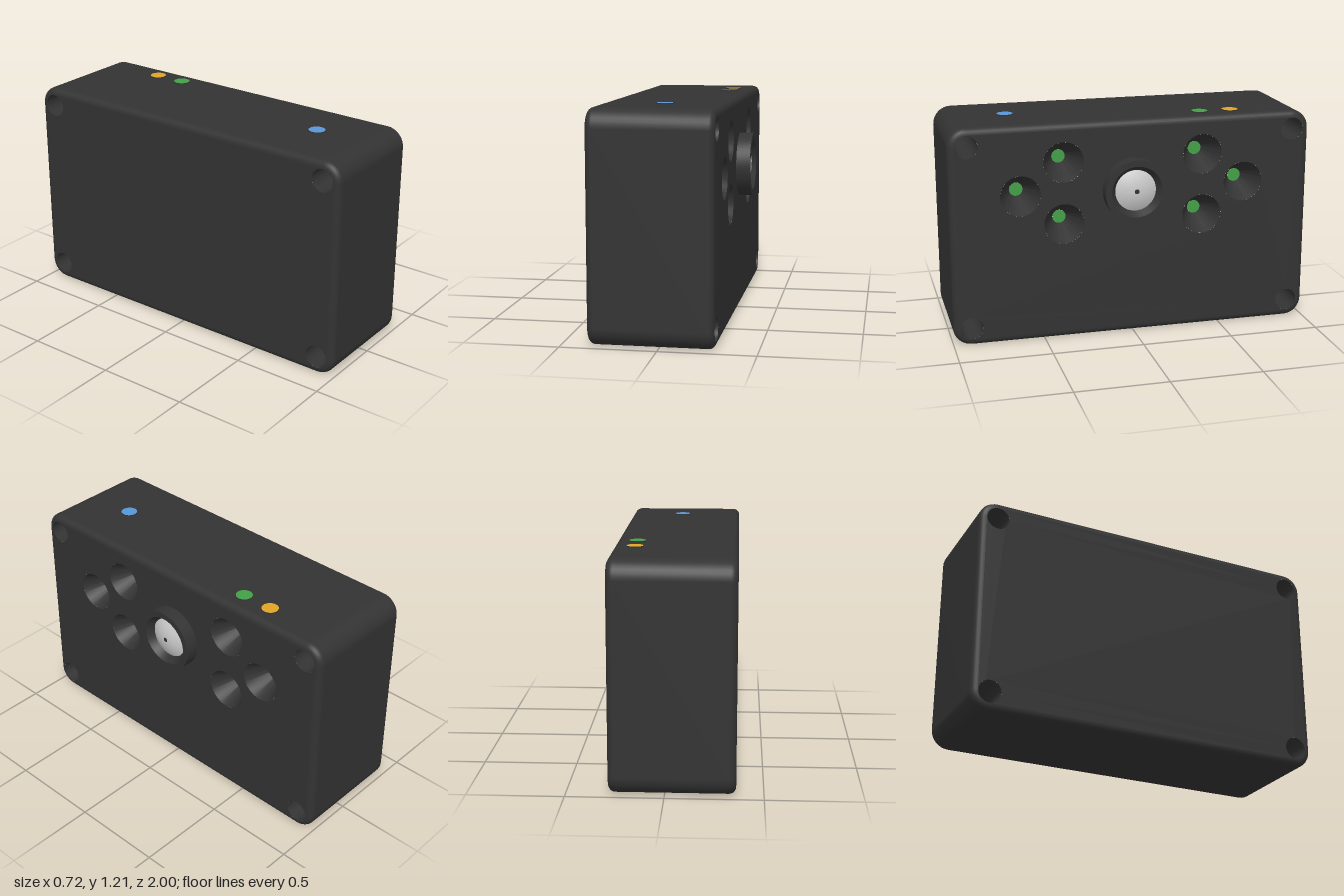
import * as THREE from 'three';
import { toCreasedNormals } from 'three/addons/utils/BufferGeometryUtils.js';

const mat = (color, side = THREE.FrontSide) => new THREE.MeshStandardMaterial({ color, side });
const W = 1, H = 0.6, CY = 0.6, R = 0.1, BEVEL = 0.036; // half width, half height, centre, corner radius
const BACK = -0.36, FRONT = 0.285;
const LENS_Y = 0.82;

// Rounded rectangle outline, shrunk by an inset
function outline(inset) {
  const pts = [], n = 8;
  [[1, 1], [-1, 1], [-1, -1], [1, -1]].forEach(([sx, sy], q) => {
    for (let i = 0; i <= n; i++) {
      const a = (q + i / n) * Math.PI / 2;
      pts.push(new THREE.Vector2(
        sx * (W - R) + (R - inset) * Math.cos(a),
        CY + sy * (H - R) + (R - inset) * Math.sin(a)));
    }
  });
  return pts;
}

// Outer skin lofted through outline rings with rounded front and back edges
function shellGeometry() {
  const rings = [], steps = 6;
  for (let i = 0; i <= steps; i++) {
    const a = i / steps * Math.PI / 2;
    rings.push([BEVEL * (1 - Math.sin(a)), BACK + BEVEL * (1 - Math.cos(a))]);
  }
  for (let i = steps; i >= 0; i--) rings.push([rings[i][0], BACK + FRONT - rings[i][1]]);
  const pos = [], index = [];
  let n = 0;
  for (const [inset, z] of rings) {
    const ring = outline(inset);
    n = ring.length;
    ring.forEach(p => pos.push(p.x, p.y, z));
  }
  for (let r = 0; r < rings.length - 1; r++) {
    for (let i = 0; i < n; i++) {
      const a = r * n + i, b = r * n + (i + 1) % n;
      index.push(a, b, b + n, a, b + n, a + n);
    }
  }
  const g = new THREE.BufferGeometry();
  g.setAttribute('position', new THREE.Float32BufferAttribute(pos, 3));
  g.setIndex(index);
  g.computeVertexNormals();
  return g;
}

// Flat panel with round openings
function panelGeometry(holes) {
  const shape = new THREE.Shape(outline(BEVEL));
  for (const [x, y, r] of holes) {
    shape.holes.push(new THREE.Path().absarc(x, y, r, 0, Math.PI * 2, true));
  }
  return new THREE.ShapeGeometry(shape, 40);
}

// Lathe whose axis points out of the front panel; profile is [radius, depth]
function turned(profile, segments = 48) {
  const g = new THREE.LatheGeometry(profile.map(p => new THREE.Vector2(...p)), segments);
  return toCreasedNormals(g.rotateX(Math.PI / 2), 0.6);
}

export function createModel() {
  const model = new THREE.Group();
  const device = new THREE.Group();
  device.name = 'device';
  device.rotation.y = Math.PI / 2; // panel faces +x
  model.add(device);

  const dark = mat(0x333333), darkDouble = mat(0x333333, THREE.DoubleSide);
  const green = mat(0x43a047);
  const add = (name, geometry, material, x = 0, y = 0, z = 0) => {
    const m = new THREE.Mesh(geometry, material);
    m.name = name;
    m.position.set(x, y, z);
    device.add(m);
    return m;
  };

  const screws = [], leds = [];
  for (const s of [-1, 1]) {
    screws.push([s * 0.9, 0.1, 0.062], [s * 0.9, 1.1, 0.062]);
    leds.push([s * 0.385, 0.99, 0.11], [s * 0.385, 0.65, 0.11], [s * 0.62, 0.82, 0.11]);
  }

  // Housing
  add('housingShell', shellGeometry(), dark);
  add('frontPanel', panelGeometry([...screws, ...leds]), dark, 0, 0, FRONT);
  const back = panelGeometry(screws);
  back.rotateY(Math.PI);
  add('backPanel', back, dark, 0, 0, BACK);

  // Through holes in the corners
  const bore = new THREE.CylinderGeometry(0.062, 0.062, FRONT - BACK, 40, 1, true).rotateX(Math.PI / 2);
  for (const [x, y] of screws) add('screwHole', bore, darkDouble, x, y, (FRONT + BACK) / 2);

  // Conical light wells with a small lamp at the bottom
  const well = turned([[0.037, -0.15], [0.11, 0]], 40);
  const lamp = new THREE.CircleGeometry(0.037, 32);
  for (const [x, y] of leds) {
    add('lightWell', well, darkDouble, x, y, FRONT);
    add('lamp', lamp, green, x, y, FRONT - 0.149);
  }

  // Lens barrel, domed glass and pupil
  add('lensBarrel', turned([[0.174, -0.01], [0.174, 0.075], [0.14, 0.075], [0.113, 0.035], [0, 0.03]], 64),
    darkDouble, 0, LENS_Y, FRONT);
  const dome = [];
  for (let i = 0; i <= 10; i++) {
    const r = 0.113 * (1 - i / 10);
    dome.push([r, 0.035 + 0.03 * (1 - (r / 0.113) ** 2)]);
  }
  add('lensGlass', turned(dome), mat(0xcccccc, THREE.DoubleSide), 0, LENS_Y, FRONT);
  add('lensPupil', new THREE.CircleGeometry(0.013, 24), dark, 0, LENS_Y, FRONT + 0.066);

  // Indicator buttons on top: dark rim with a coloured face
  const rim = new THREE.CylinderGeometry(0.044, 0.044, 0.01, 40);
  const face = new THREE.CircleGeometry(0.044, 40).rotateX(-Math.PI / 2);
  const buttons = [['yellow', 0xe0a526, 0.575, 0.17], ['green', 0x43a047, 0.4, 0.17], ['blue', 0x5a96d8, -0.645, -0.02]];
  for (const [name, color, x, z] of buttons) {
    add(name + 'ButtonRim', rim, dark, x, 1.2, z);
    add(name + 'ButtonFace', face, mat(color), x, 1.206, z);
  }
  return model;
}
